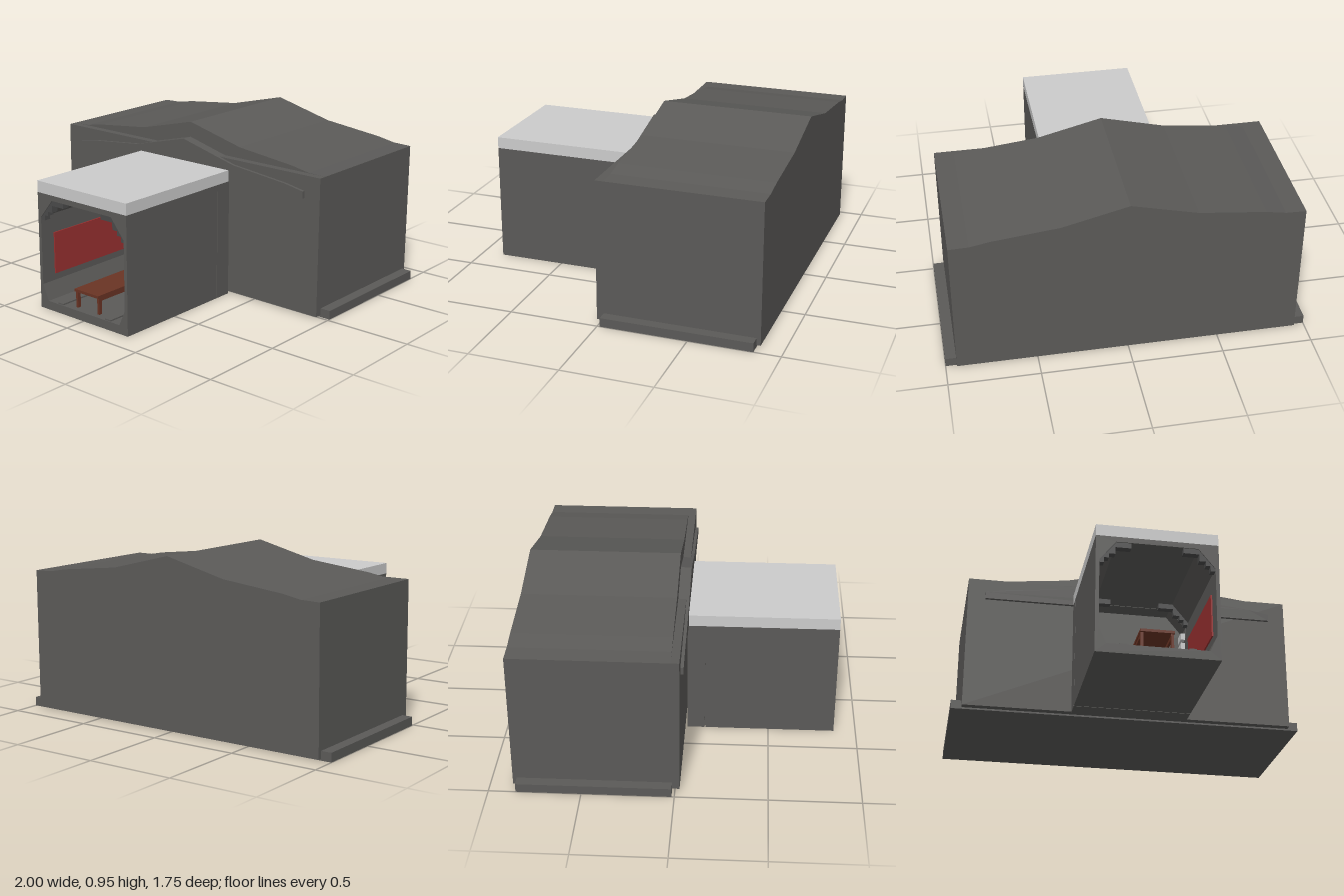
import * as THREE from 'three';

const mat = (color) => new THREE.MeshStandardMaterial({ color, flatShading: true });
const dark = mat(0x5b5a58), grey = mat(0xcccccc), red = mat(0x9a3030), brown = mat(0x6a3424), metal = mat(0x4a4a4a);

export function createModel() {
  const group = new THREE.Group();

  const add = (name, geometry, material) => {
    const mesh = new THREE.Mesh(geometry, material);
    mesh.name = name;
    group.add(mesh);
    return mesh;
  };
  // box given by its limits on each axis
  const box = (name, x0, x1, y0, y1, z0, z1, material = dark) => {
    const mesh = add(name, new THREE.BoxGeometry(x1 - x0, y1 - y0, z1 - z0), material);
    mesh.position.set((x0 + x1) / 2, (y0 + y1) / 2, (z0 + z1) / 2);
    return mesh;
  };
  // the same box on both sides
  const pair = (name, x0, x1, ...rest) => {
    box(name + 'Left', x0, x1, ...rest);
    box(name + 'Right', -x1, -x0, ...rest);
  };
  // right half of an outline, mirrored to a closed list of points
  const mirrored = (half) => [
    ...half.map(([x, y]) => new THREE.Vector2(x, y)),
    ...half.filter(([x]) => x > 0).reverse().map(([x, y]) => new THREE.Vector2(-x, y)),
  ];
  const extrude = (name, half, z0, z1, material, hole) => {
    const shape = new THREE.Shape(mirrored(half));
    if (hole) shape.holes.push(new THREE.Path(mirrored(hole)));
    const geometry = new THREE.ExtrudeGeometry(shape, { depth: z1 - z0, bevelEnabled: false });
    return add(name, geometry.translate(0, 0, z0), material);
  };

  // main hall with its base and shallow gabled roof
  box('hall', -0.94, 0.94, 0.01, 0.797, -0.875, 0.025);
  box('base', -1, 1, 0, 0.05, -0.853, -0.015);
  extrude('roof', [[0.94, 0.78], [0.94, 0.797], [0.83, 0.8], [0.72, 0.82], [0.36, 0.86], [0, 0.95]], -0.875, -0.02, dark);
  extrude('pediment', [[0.84, 0.67], [0.84, 0.71], [0.72, 0.732], [0.36, 0.77], [0, 0.862]], -0.02, 0.042, dark);

  // entrance corridor, open at the front
  const passage = [[0.27, 0.05], [0.31, 0.14], [0.31, 0.53], [0.22, 0.64]];
  const outline = [[0.33, 0], [0.33, 0.67]];
  extrude('corridorBack', outline, 0.035, 0.135, dark, passage);
  extrude('corridorFront', outline, 0.14, 0.875, dark, passage);
  box('corridorRoof', -0.33, 0.33, 0.67, 0.735, 0.04, 0.875, grey);
  box('jointCover', -0.325, 0.325, 0.01, 0.05, 0.13, 0.145);
  pair('jointWall', 0.312, 0.327, 0.05, 0.67, 0.13, 0.145);

  // pale trim at the inner end, and the red wall panels
  pair('upperTrim', 0.285, 0.309, 0.46, 0.5, 0.05, 0.13, grey);
  pair('middleTrim', 0.285, 0.309, 0.15, 0.44, 0.05, 0.13, grey);
  for (const s of [-1, 1]) {
    const trim = box('lowerTrim', -0.012, 0.012, -0.037, 0.037, 0.05, 0.13, grey);
    trim.position.x = s * 0.276;
    trim.position.y = 0.1;
    trim.rotation.z = -s * 0.42;
  }
  pair('wallPanel', 0.302, 0.312, 0.18, 0.42, 0.23, 0.785, red);

  // stepped brackets in the upper corners
  for (const z of [0.17, 0.83]) {
    [[0.285, 0.315, 0.515, 0.56], [0.26, 0.3, 0.545, 0.585], [0.225, 0.275, 0.57, 0.615], [0.14, 0.25, 0.61, 0.645]]
      .forEach(([x0, x1, y0, y1]) => pair('bracket', x0, x1, y0, y1, z, z + 0.04, metal));
  }

  // floor ridges and long bench
  pair('floorRidge', 0.16, 0.2, 0.045, 0.058, 0.04, 0.87);
  box('benchTop', -0.09, 0.09, 0.145, 0.16, 0.2, 0.85, brown);
  for (const z of [0.21, 0.515, 0.82]) pair('benchLeg', 0.073, 0.088, 0.05, 0.145, z, z + 0.02, brown);
  pair('benchRail', 0.075, 0.086, 0.125, 0.145, 0.21, 0.84, brown);

  return group;
}
